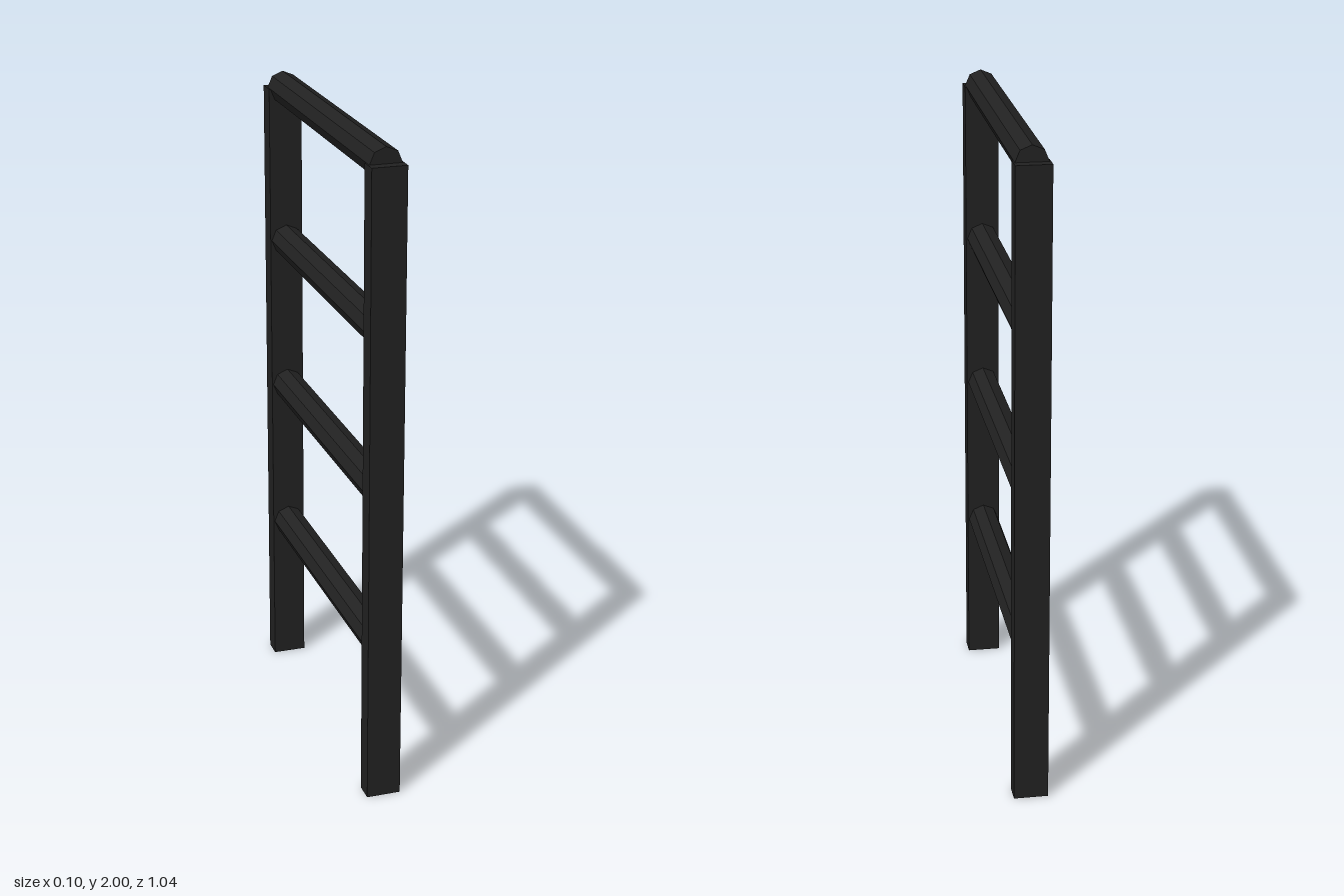
import * as THREE from 'three';

export function createModel() {
  const group = new THREE.Group();
  const material = new THREE.MeshStandardMaterial({ color: 0x222222, flatShading: true });

  function add(name, geometry, y, z) {
    const mesh = new THREE.Mesh(geometry, material);
    mesh.name = name;
    mesh.position.set(0, y, z);
    group.add(mesh);
  }

  // Two upright side rails
  const railHeight = 1.952;
  const rail = new THREE.BoxGeometry(0.104, railHeight, 0.06);
  add('frontRail', rail, railHeight / 2, 0.489);
  add('backRail', rail, railHeight / 2, -0.489);

  // Four octagonal rungs, the highest resting on the rail tops
  const rung = new THREE.CylinderGeometry(0.048, 0.048, 0.975, 8).rotateX(Math.PI / 2);
  for (let i = 0; i < 4; i++) add(`rung${i + 1}`, rung, railHeight - (3 - i) * 0.487, 0);

  return group;
}
